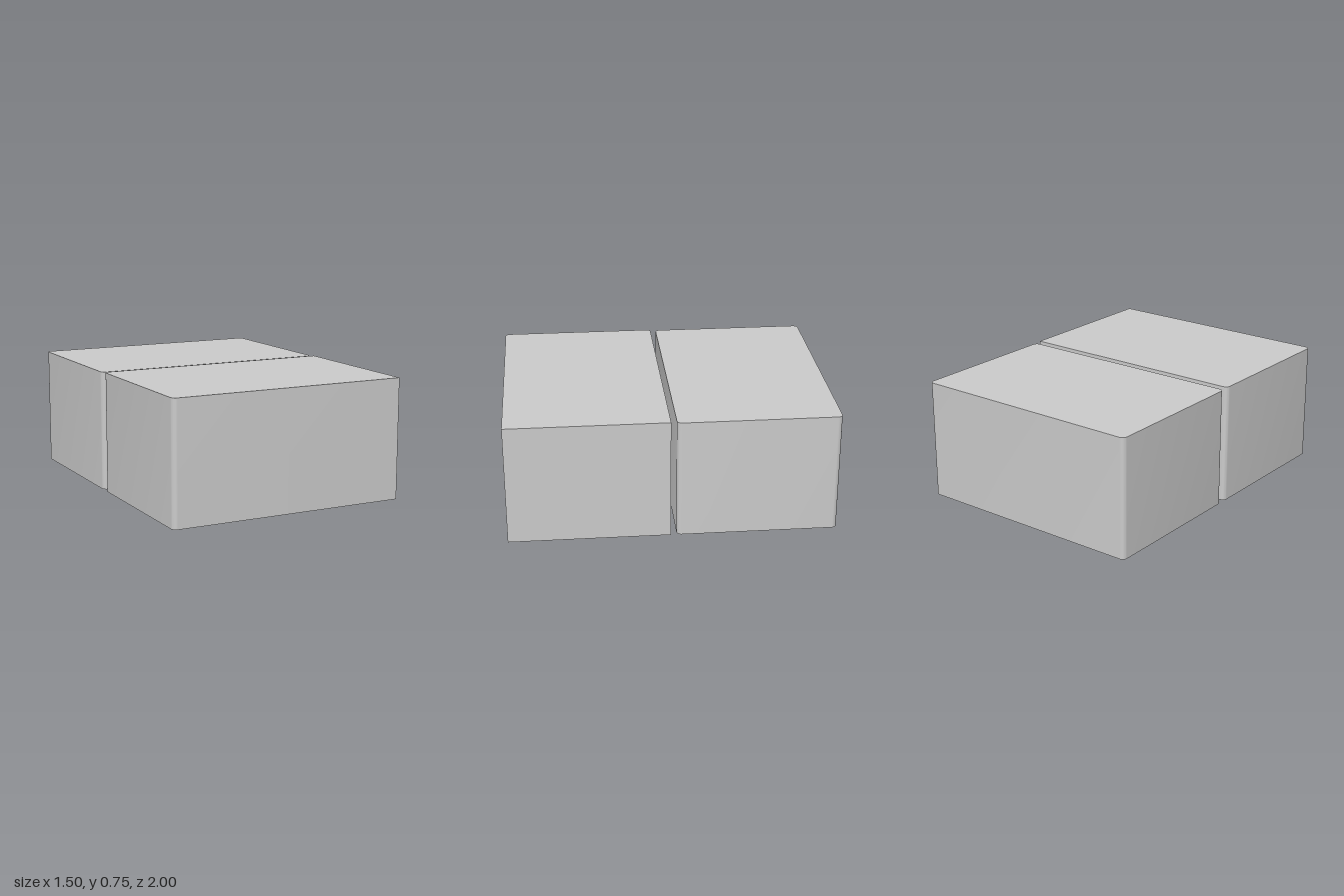
import * as THREE from 'three';
import { toCreasedNormals } from 'three/addons/utils/BufferGeometryUtils.js';

const material = new THREE.MeshStandardMaterial({ color: 0xcccccc });

// Plans are drawn in (x, -z), counter-clockwise.
// Closed loop from [x, y, radius] corners; radius 0 keeps the point sharp.
function roundedLoop(corners) {
  const out = [];
  const n = corners.length;
  corners.forEach(([x, y, r], i) => {
    const c = new THREE.Vector2(x, y);
    if (!r) return out.push(c);
    const toward = ([px, py]) => new THREE.Vector2(px, py).sub(c).setLength(r).add(c);
    const a = toward(corners[(i + n - 1) % n]);
    const b = toward(corners[(i + 1) % n]);
    // circular fillet of a square corner
    const centre = a.clone().add(b).sub(c);
    for (let k = 0; k <= 8; k++) {
      const t = (k / 8) * Math.PI / 2;
      out.push(centre.clone()
        .addScaledVector(a.clone().sub(centre), Math.cos(t))
        .addScaledVector(b.clone().sub(centre), Math.sin(t)));
    }
  });
  return out;
}

// Upright wall along a loop; inward walls face the loop's inside
function wall(loop, y0, y1, inward = false) {
  const pts = inward ? [...loop].reverse() : loop;
  const pos = [];
  pts.forEach((p, i) => {
    const q = pts[(i + 1) % pts.length];
    const [a, b, c, d] = [[p, y0], [q, y0], [q, y1], [p, y1]].map(([v, y]) => [v.x, y, -v.y]);
    pos.push(...a, ...b, ...c, ...a, ...c, ...d);
  });
  const geo = new THREE.BufferGeometry();
  geo.setAttribute('position', new THREE.Float32BufferAttribute(pos, 3));
  return toCreasedNormals(geo, 0.6);
}

// Level face filling a loop, with holes, looking up or down
function cap(loop, y, up, holes = []) {
  const shape = new THREE.Shape(loop);
  shape.holes = holes.map((h) => new THREE.Path(h));
  const geo = new THREE.ShapeGeometry(shape).rotateX(-Math.PI / 2).translate(0, y, 0);
  if (!up) {
    geo.index.array.reverse();
    geo.computeVertexNormals();
  }
  return geo;
}

// Half-disc on a wider rectangular base
function pocketLoop(halfWidth, length, radius) {
  const arc = [];
  for (let i = 0; i <= 48; i++) {
    const t = (i / 48) * Math.PI;
    arc.push([radius * Math.cos(t), radius * Math.sin(t), 0]);
  }
  return roundedLoop([
    [-halfWidth, -length, 0.03], [halfWidth, -length, 0.03],
    [halfWidth, 0, 0.025], ...arc, [-halfWidth, 0, 0.025],
  ]);
}

// Round hole with a thin slit running back from it
function keyholeLoop(holeY, endY) {
  const r = 0.02, slit = 0.004;
  const gap = Math.asin(slit / r);
  const pts = [new THREE.Vector2(-slit, endY), new THREE.Vector2(slit, endY)];
  for (let i = 0; i <= 24; i++) {
    const t = -Math.PI / 2 + gap + (i / 24) * (2 * Math.PI - 2 * gap);
    pts.push(new THREE.Vector2(r * Math.cos(t), holeY + r * Math.sin(t)));
  }
  return pts;
}

function place(loop, x, z, turned) {
  const s = turned ? -1 : 1;
  return loop.map((p) => new THREE.Vector2(x + s * p.x, s * p.y - z));
}

function block(name, outline, height, pockets) {
  const group = new THREE.Group();
  group.name = name;
  const add = (part, geo) => {
    const mesh = new THREE.Mesh(geo, material);
    mesh.name = part;
    group.add(mesh);
  };
  const depth = 0.05, slotTop = 0.07;

  add('sides', wall(outline, 0, height));
  add('top', cap(outline, height, true));
  add('underside', cap(outline, 0, false, pockets.map((p) => p.loop)));
  for (const { loop, slot } of pockets) {
    add('pocketWall', wall(loop, 0, depth, true));
    add('pocketFloor', cap(loop, depth, false, [slot]));
    add('slotWall', wall(slot, depth, slotTop, true));
    add('slotFloor', cap(slot, slotTop, false));
  }
  return group;
}

export function createModel() {
  const model = new THREE.Group();
  model.name = 'blockPair';
  const w = 0.75, gap = 0.018, r = 0.03;

  // Front block: rounded on its right edges, square on its left
  const frontOutline = roundedLoop([[-w, -1, r], [w, -1, 0], [w, -gap, 0], [-w, -gap, r]]);
  model.add(block('frontBlock', frontOutline, 0.75, [{
    loop: place(pocketLoop(0.4, 0.41, 0.325), 0, 0.475, false),
    slot: place(keyholeLoop(0.135, -0.12), 0, 0.475, false),
  }]));

  // Back block: all edges rounded, two smaller pockets facing the other way
  const backOutline = roundedLoop([[-w, gap, r], [w, gap, r], [w, 1, r], [-w, 1, r]]);
  model.add(block('backBlock', backOutline, 0.745, [-0.36, 0.36].map((x) => ({
    loop: place(pocketLoop(0.25, 0.285, 0.21), x, -0.5, true),
    slot: place(keyholeLoop(-0.015, -0.245), x, -0.5, true),
  }))));

  return model;
}
